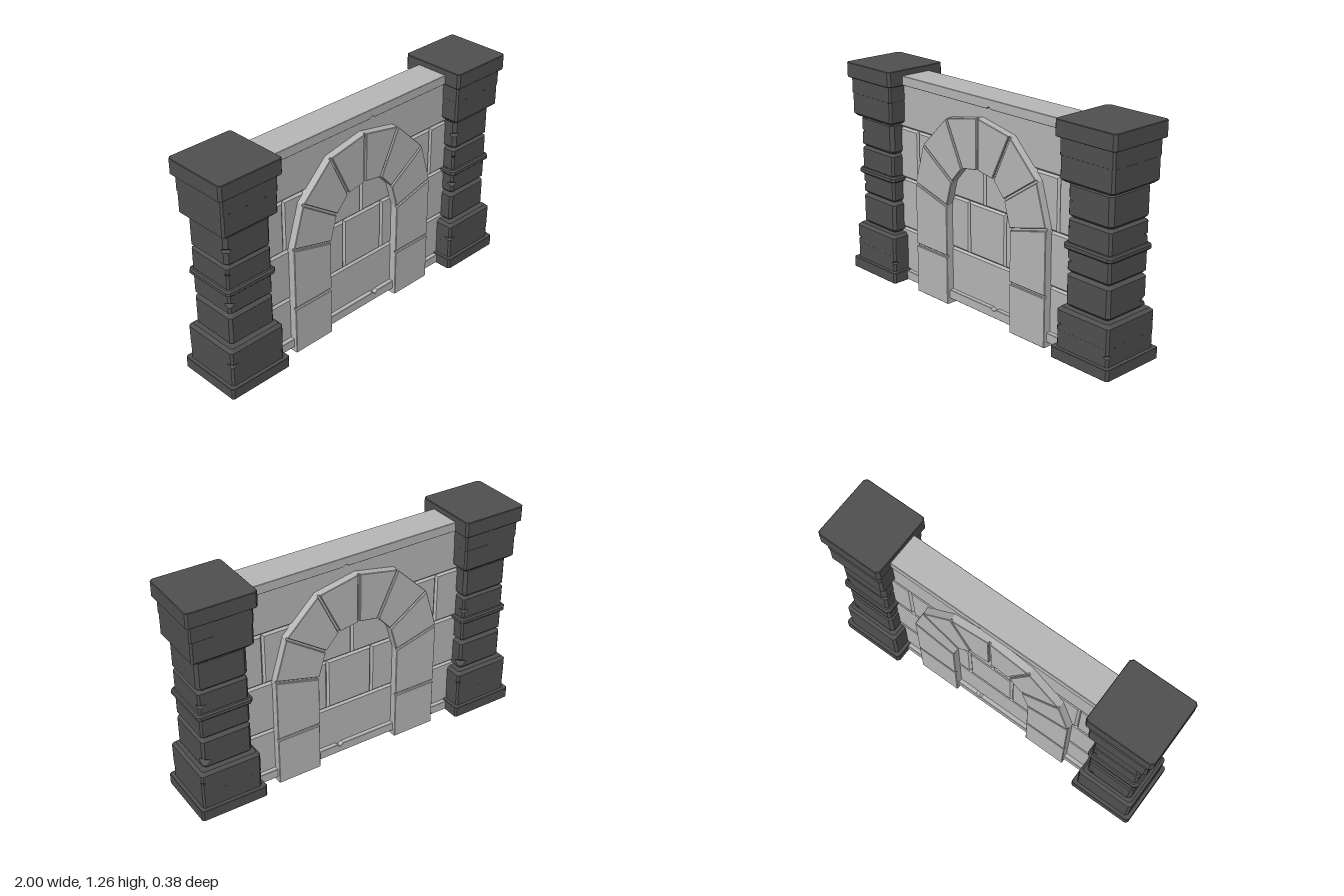
import * as THREE from 'three';

const wallMat = new THREE.MeshStandardMaterial({ color: 0xb8b8b8 });
wallMat.name = 'light stone';
const pillarMat = new THREE.MeshStandardMaterial({ color: 0x505050 });
pillarMat.name = 'dark stone';

// Bevelled slab with a polygon face, centred on z = 0
function stone(name, pts, halfDepth, bevel) {
  const shape = new THREE.Shape(pts.map(([x, y]) => new THREE.Vector2(x, y)));
  const geo = new THREE.ExtrudeGeometry(shape, {
    depth: 2 * (halfDepth - bevel), bevelEnabled: true, bevelSegments: 1,
    bevelSize: bevel, bevelThickness: bevel, bevelOffset: -bevel,
  });
  geo.translate(0, 0, -(halfDepth - bevel));
  const mesh = new THREE.Mesh(geo, wallMat);
  mesh.name = name;
  return mesh;
}

const rect = (x0, x1, y0, y1) => [[x0, y0], [x1, y0], [x1, y1], [x0, y1]];

// Square ring with a separate cut on each corner: (+x+z), (+x-z), (-x-z), (-x+z)
function ring(y, h, cuts) {
  const [a, b, c, d] = cuts;
  return [
    [h - a, y, h], [h, y, h - a], [h, y, -h + b], [h - b, y, -h],
    [-h + c, y, -h], [-h, y, -h + c], [-h, y, h - d], [-h + d, y, h],
  ];
}

// Worn pillar block lofted through rings; bevels are [bottom, top], chips are [corner, height, size]
function block(name, y0, y1, h, [low, high], cut, chips = []) {
  const base = [cut, cut * 0.8, cut * 1.1, cut * 0.9];
  const levels = [{ y: y0, h: h - low, cuts: base }, { y: y0 + low, h, cuts: base }];
  for (const [corner, y, size] of [...chips].sort((p, q) => p[1] - q[1])) {
    const deep = base.slice();
    deep[corner] += size;
    levels.push({ y: y - size * 0.6, h, cuts: base }, { y, h, cuts: deep }, { y: y + size * 0.6, h, cuts: base });
  }
  levels.push({ y: y1 - high, h, cuts: base }, { y: y1, h: h - high, cuts: base });
  const rings = levels.map((l) => ring(l.y, l.h, l.cuts));
  const pos = [];
  const tri = (a, b, c) => pos.push(...a, ...b, ...c);
  for (let i = 0; i < rings.length - 1; i++) {
    for (let j = 0; j < 8; j++) {
      const k = (j + 1) % 8, lo = rings[i], hi = rings[i + 1];
      tri(lo[j], lo[k], hi[k]);
      tri(lo[j], hi[k], hi[j]);
    }
  }
  const first = rings[0], last = rings[rings.length - 1];
  for (let j = 1; j < 7; j++) {
    tri(last[0], last[j], last[j + 1]);
    tri(first[0], first[j + 1], first[j]);
  }
  const geo = new THREE.BufferGeometry();
  geo.setAttribute('position', new THREE.Float32BufferAttribute(pos, 3));
  geo.computeVertexNormals();
  const mesh = new THREE.Mesh(geo, pillarMat);
  mesh.name = name;
  return mesh;
}

function makePillar(name, x) {
  const g = new THREE.Group();
  g.name = name;
  g.add(
    block('plinth', 0.026, 0.088, 0.191, [0.002, 0.002], 0.012),
    block('lowerBase', 0.08, 0.181, 0.17, [0.002, 0.001], 0.012, [[0, 0.14, 0.015]]),
    block('upperBase', 0.18, 0.305, 0.171, [0.001, 0.016], 0.012, [[3, 0.222, 0.035], [1, 0.235, 0.025]]),
    block('shaftBlock1', 0.303, 0.49, 0.141, [0.02, 0.018], 0.016, [[1, 0.35, 0.035]]),
    block('shaftBlock2', 0.488, 0.62, 0.139, [0.016, 0.008], 0.012, [[3, 0.552, 0.025]]),
    block('shaftBand', 0.612, 0.646, 0.156, [0.008, 0.008], 0.018),
    block('shaftBlock3', 0.64, 0.775, 0.139, [0.008, 0.014], 0.012, [[1, 0.703, 0.04], [3, 0.715, 0.03]]),
    block('shaftBlock4', 0.773, 0.957, 0.142, [0.018, 0.018], 0.02, [[3, 0.865, 0.02]]),
    block('lowerCapital', 0.953, 1.086, 0.17, [0.016, 0.001], 0.012),
    block('upperCapital', 1.085, 1.18, 0.172, [0.001, 0.002], 0.01),
    block('capSlab', 1.176, 1.262, 0.191, [0.003, 0.003], 0.015),
  );
  // Joint filler between the rounded blocks
  const core = new THREE.Mesh(new THREE.BoxGeometry(0.24, 1.1, 0.24), pillarMat);
  core.name = 'pillarCore';
  core.position.y = 0.64;
  g.add(core);
  g.position.x = x;
  return g;
}

function makeWall() {
  const g = new THREE.Group();
  g.name = 'wall';
  const end = 0.74, depth = 0.07, bevel = 0.011;
  g.add(stone('wallCore', rect(-end, end, 0.04, 1.22), 0.055, 0.002));
  // Plain bands along the bottom and top, each with a small chip
  g.add(stone('bottomBand', [[-end, 0.03], [end, 0.03], [end, 0.082], [0.125, 0.082], [0.105, 0.068], [0.085, 0.082], [-end, 0.082]], 0.095, 0.002));
  g.add(stone('topBand', [[-end, 1.178], [0.05, 1.178], [0.068, 1.19], [0.085, 1.178], [end, 1.178], [end, 1.23], [-end, 1.23]], 0.095, 0.002));
  // Brick courses: [bottom, top, vertical joints]
  const courses = [
    [0.06, 0.332, []],
    [0.332, 0.632, [-0.11, 0.168]],
    [0.632, 0.928, [-0.525, 0.015, 0.545]],
    [0.928, 1.2, []],
  ];
  courses.forEach(([y0, y1, joints], row) => {
    const xs = [-end, ...joints, end];
    for (let i = 0; i < xs.length - 1; i++) {
      g.add(stone(`wallBrick${row + 1}_${i + 1}`, rect(xs[i], xs[i + 1], y0, y1), depth, bevel));
    }
  });
  return g;
}

function makeArch() {
  const g = new THREE.Group();
  g.name = 'arch';
  // Matching joint ends from the foot up to the crown
  const outer = [[0.5, 0], [0.5, 0.285], [0.5, 0.65], [0.43, 0.885], [0.24, 1.072], [0, 1.12]];
  const inner = [[0.245, 0], [0.245, 0.285], [0.245, 0.582], [0.202, 0.73], [0.12, 0.822], [0, 0.842]];
  // Point a set distance from p towards q
  const toward = (p, q, d) => {
    const len = Math.hypot(q[0] - p[0], q[1] - p[1]);
    return [p[0] + (q[0] - p[0]) * d / len, p[1] + (q[1] - p[1]) * d / len];
  };
  for (const side of [-1, 1]) {
    const flip = (pts) => pts.map(([x, y]) => [x * side, y]);
    const hand = side > 0 ? 'left' : 'right';
    // Recessed backing seen in the joints
    g.add(stone(`${hand}_archJoints`, flip([...outer, ...inner.slice().reverse()]), 0.102, 0.001));
    for (let i = 0; i < outer.length - 1; i++) {
      const lowGap = i ? 0.007 : 0, highGap = 0.007;
      const pts = flip([
        toward(inner[i], inner[i + 1], lowGap), toward(outer[i], outer[i + 1], lowGap),
        toward(outer[i + 1], outer[i], highGap), toward(inner[i + 1], inner[i], highGap),
      ]);
      g.add(stone(`${hand}_${i < 2 ? 'archUpright' : 'archStone'}${i + 1}`, pts, 0.114, 0.003));
    }
  }
  return g;
}

export function createModel() {
  const model = new THREE.Group();
  model.name = 'stoneArchWall';
  model.add(makeWall(), makeArch(), makePillar('rightPillar', -0.807), makePillar('leftPillar', 0.807));
  return model;
}
